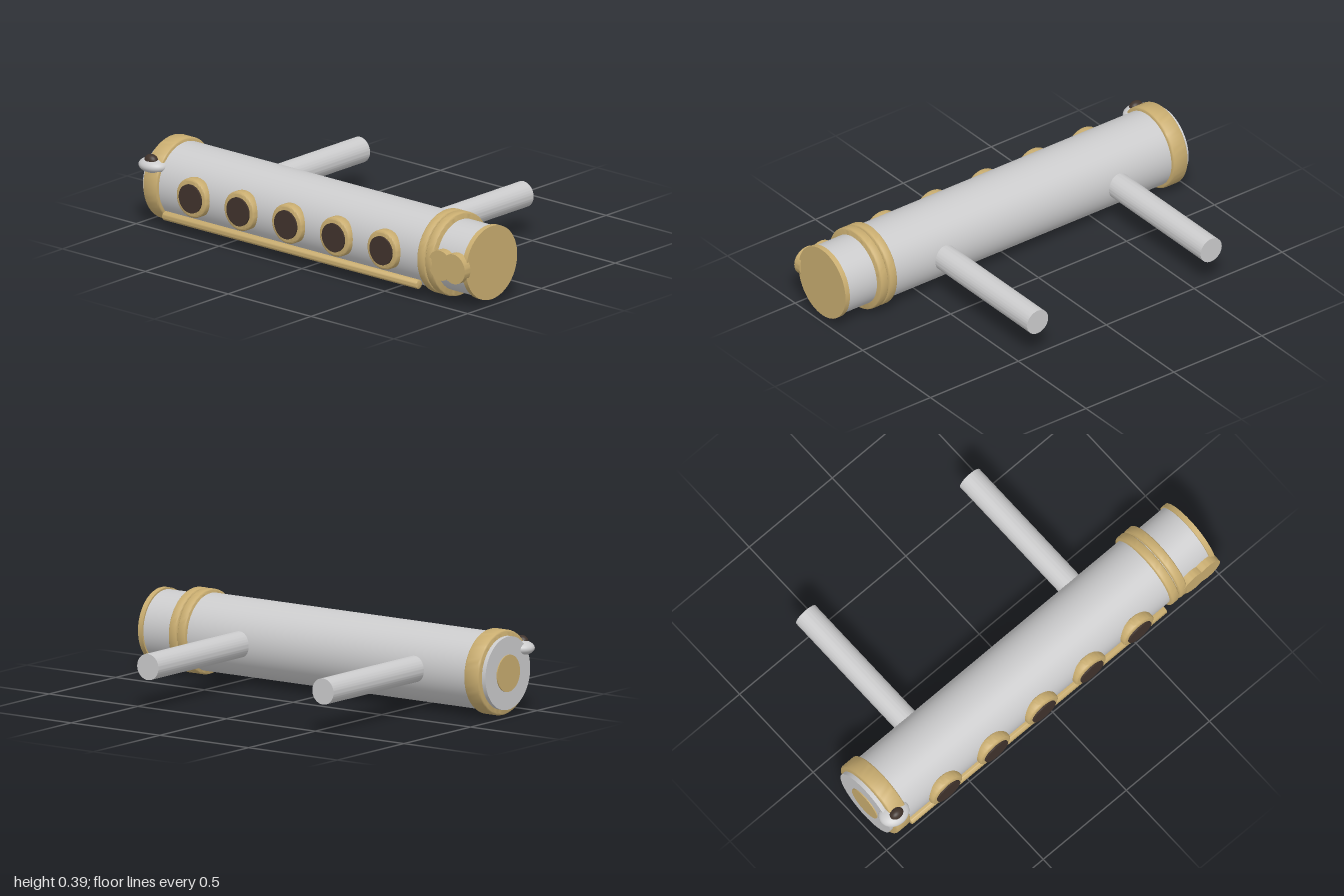
import * as THREE from 'three';
import { toCreasedNormals } from 'three/addons/utils/BufferGeometryUtils.js';

const AXIS_Y = 0.195, AXIS_Z = 0.32;

export function createModel() {
  const model = new THREE.Group();
  model.name = 'cylinderFitting';

  const mat = (name, color) => {
    const m = new THREE.MeshStandardMaterial({ color });
    m.name = name;
    return m;
  };
  const steel = mat('steel grey', 0xcbcbcc);
  const brass = mat('brass', 0xc9ad70);
  const dark = mat('dark brown', 0x40332c);

  const add = (name, geometry, material, x, y, z) => {
    const mesh = new THREE.Mesh(geometry, material);
    mesh.name = name;
    mesh.position.set(x, y, z);
    model.add(mesh);
    return mesh;
  };

  // Solid disc or drum along y with softly rounded rims
  const drum = (radius, length, bevel = 0) => {
    const h = length / 2, pts = [new THREE.Vector2(0, -h)];
    if (bevel) {
      for (const side of [-1, 1]) {
        for (let i = 0; i <= 4; i++) {
          const a = side < 0 ? -Math.PI / 2 + (i * Math.PI) / 8 : (i * Math.PI) / 8;
          pts.push(new THREE.Vector2(
            radius - bevel + Math.cos(a) * bevel,
            side * (h - bevel) + Math.sin(a) * bevel));
        }
      }
    } else {
      pts.push(new THREE.Vector2(radius, -h), new THREE.Vector2(radius, h));
    }
    pts.push(new THREE.Vector2(0, h));
    return toCreasedNormals(new THREE.LatheGeometry(pts, 64), 0.6);
  };

  // Drum on the main axis, spanning x0 to x1
  const axial = (name, x0, x1, radius, material, bevel) => {
    const g = drum(radius, x1 - x0, bevel).rotateZ(-Math.PI / 2);
    return add(name, g, material, (x0 + x1) / 2, AXIS_Y, AXIS_Z);
  };
  // Drum facing front, spanning z0 to z1
  const facing = (name, x, y, z0, z1, radius, material, bevel) => {
    const g = drum(radius, z1 - z0, bevel).rotateX(Math.PI / 2);
    return add(name, g, material, x, y, (z0 + z1) / 2);
  };

  // Main tube and its end sections
  axial('mainTube', -0.94, 0.78, 0.178, steel);
  axial('rightNeck', 0.78, 0.97, 0.165, steel);
  axial('leftPlug', -0.97, -0.94, 0.168, steel);
  axial('leftPlugDisc', -0.975, -0.968, 0.085, brass);

  // Brass collars and end cap
  axial('leftCollar', -0.95, -0.865, 0.195, brass, 0.012);
  axial('innerRightCollar', 0.704, 0.75, 0.195, brass, 0.01);
  axial('outerRightCollar', 0.754, 0.8, 0.195, brass, 0.01);
  axial('rightCap', 0.96, 0.985, 0.173, brass);

  // Row of front ports
  for (let i = 0; i < 5; i++) {
    const x = -0.65 + i * 0.2877;
    facing('portRim', x, 0.198, 0.47, 0.522, 0.092, brass, 0.012);
    facing('portOpening', x, 0.198, 0.5, 0.53, 0.067, dark);
  }

  // Long rod below the ports
  const rod = drum(0.021, 1.535, 0.004).rotateZ(-Math.PI / 2);
  add('frontRod', rod, brass, -0.0775, 0.067, 0.48);

  // Double-disc clasp on the right neck
  for (const x of [0.845, 0.925]) {
    facing('claspDisc', x, 0.197, 0.475, 0.513, 0.07, brass);
  }

  // Rear mounting bars
  for (const x of [-0.57, 0.417]) {
    facing('rearBar', x, AXIS_Y, -0.535, 0.17, 0.06, steel);
  }

  // Knob on the left collar
  const ball = new THREE.SphereGeometry(1, 40, 24);
  add('knob', ball, steel, -0.925, 0.287, 0.465).scale.set(0.075, 0.035, 0.062);
  add('knobButton', ball, dark, -0.925, 0.312, 0.482).scale.set(0.035, 0.029, 0.026);

  return model;
}
